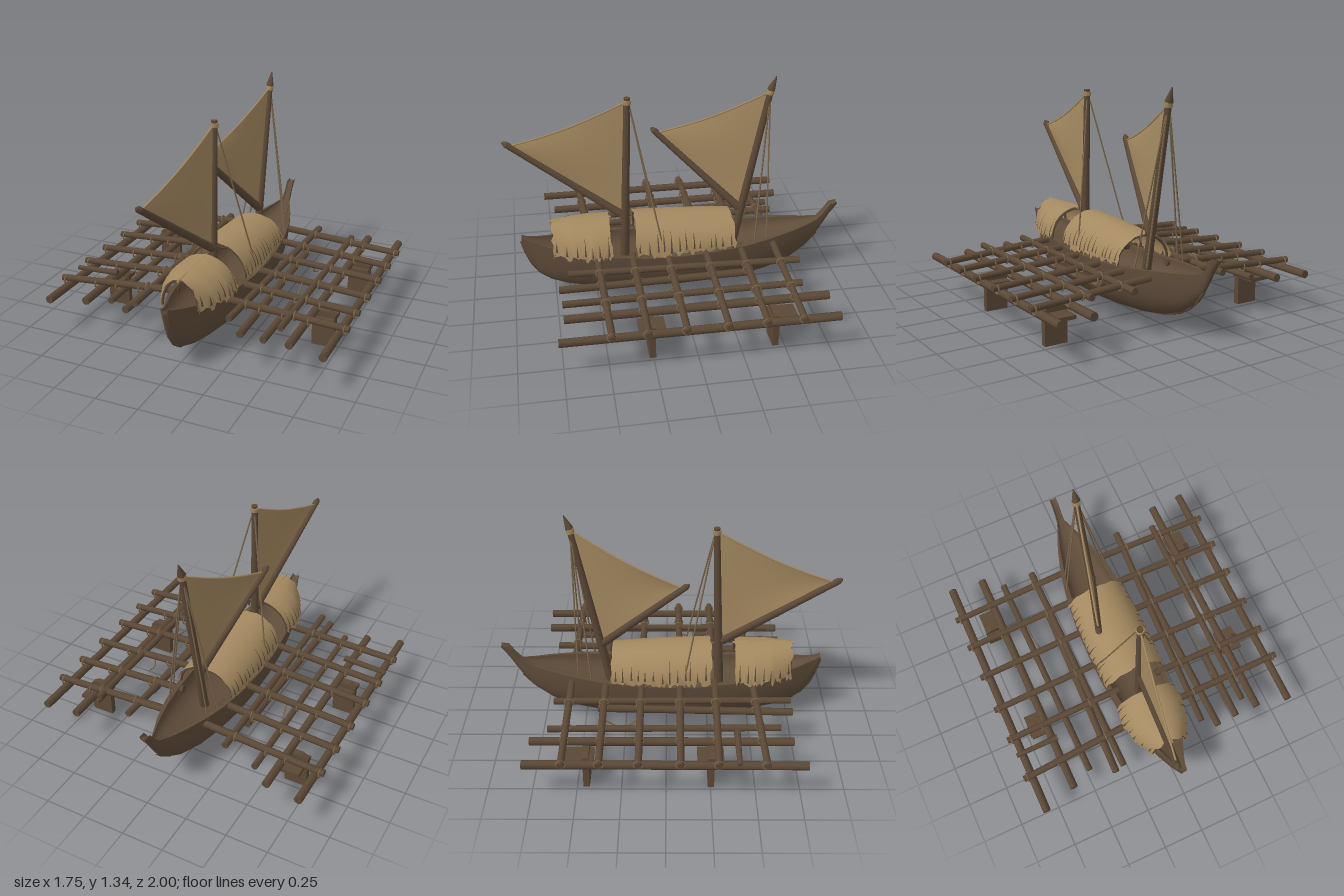
import * as THREE from 'three';
import { toCreasedNormals } from 'three/addons/utils/BufferGeometryUtils.js';

const V = (x, y, z) => new THREE.Vector3(x, y, z);
const lerp = THREE.MathUtils.lerp;

export function createModel() {
  const model = new THREE.Group();
  const material = (name, color, side = THREE.FrontSide) => {
    const m = new THREE.MeshStandardMaterial({ color, side });
    m.name = name;
    return m;
  };
  const hullWood = material('hull wood', 0x5f4c3a);
  const logWood = material('log wood', 0x5b4836, THREE.DoubleSide);
  const cloth = material('woven cloth', 0xa48960, THREE.DoubleSide);
  const rope = material('rope', 0x7a6549);

  let seed = 7;
  const jitter = (amount) => {
    seed = (seed * 16807) % 2147483647;
    return (seed / 2147483647 - 0.5) * 2 * amount;
  };

  const add = (name, geometry, mat, parent = model) => {
    const mesh = new THREE.Mesh(geometry, mat);
    mesh.name = name;
    parent.add(mesh);
    return mesh;
  };
  const group = (name) => {
    const g = new THREE.Group();
    g.name = name;
    model.add(g);
    return g;
  };
  const tube = (name, points, radius, mat, parent = model) =>
    add(name, new THREE.TubeGeometry(new THREE.CatmullRomCurve3(points), 24, radius, 5), mat, parent);
  // Straight pole from a to b
  const pole = (name, a, b, r0, r1, mat = logWood, parent = model, sides = 8) => {
    const geo = new THREE.CylinderGeometry(r1, r0, a.distanceTo(b), sides);
    const mesh = add(name, toCreasedNormals(geo, 0.9), mat, parent);
    mesh.position.copy(a).lerp(b, 0.5);
    mesh.quaternion.setFromUnitVectors(V(0, 1, 0), b.clone().sub(a).normalize());
    return mesh;
  };
  // Surface from a grid of points
  const sheet = (rows, cols, point) => {
    const pos = [], index = [];
    for (let i = 0; i <= rows; i++)
      for (let j = 0; j <= cols; j++) pos.push(...point(i, j).toArray());
    for (let i = 0; i < rows; i++)
      for (let j = 0; j < cols; j++) {
        const a = i * (cols + 1) + j, b = a + cols + 1;
        index.push(a, a + 1, b, a + 1, b + 1, b);
      }
    const geo = new THREE.BufferGeometry();
    geo.setAttribute('position', new THREE.Float32BufferAttribute(pos, 3));
    geo.setIndex(index);
    geo.computeVertexNormals();
    return geo;
  };

  // Hull: [z, half width, gunwale y, keel y]
  const stations = [
    [-1, 0.02, 0.492, 0.472], [-0.955, 0.022, 0.483, 0.405], [-0.92, 0.022, 0.43, 0.345],
    [-0.88, 0.025, 0.385, 0.28], [-0.8, 0.06, 0.37, 0.19], [-0.7, 0.1, 0.36, 0.125],
    [-0.55, 0.145, 0.345, 0.075], [-0.4, 0.175, 0.33, 0.05], [-0.2, 0.197, 0.318, 0.035],
    [0, 0.202, 0.31, 0.03], [0.2, 0.198, 0.312, 0.037], [0.4, 0.18, 0.325, 0.05],
    [0.55, 0.155, 0.34, 0.062], [0.68, 0.115, 0.355, 0.08], [0.78, 0.075, 0.372, 0.115],
    [0.85, 0.045, 0.388, 0.175], [0.9, 0.028, 0.402, 0.265], [0.935, 0.022, 0.42, 0.385],
  ];
  const M = 16, ring = 2 * (M + 1);
  const pos = [], index = [];
  for (const [z, w, top, keel] of stations) {
    const depth = top - keel;
    const section = (width, d, t) => {
      const a = (t * Math.PI) / 2;
      return [Math.sign(t) * width * Math.abs(Math.sin(a)) ** 0.8,
        top - d * Math.max(0, Math.cos(a)) ** 0.9, z];
    };
    for (let i = 0; i <= M; i++) pos.push(...section(w, depth, (i / M) * 2 - 1));
    for (let i = M; i >= 0; i--)
      pos.push(...section(w * 0.82, Math.min(depth * 0.5, w * 0.6), (i / M) * 2 - 1));
  }
  for (let s = 0; s < stations.length - 1; s++)
    for (let i = 0; i < ring; i++) {
      const a = s * ring + i, b = s * ring + ((i + 1) % ring);
      index.push(a, b, a + ring, b, b + ring, a + ring);
    }
  const last = (stations.length - 1) * ring;
  for (let i = 0; i < M; i++) {
    const a = i, b = i + 1, c = ring - 2 - i, d = ring - 1 - i;
    index.push(a, c, b, a, d, c);
    index.push(last + a, last + b, last + c, last + a, last + c, last + d);
  }
  const hullGeo = new THREE.BufferGeometry();
  hullGeo.setAttribute('position', new THREE.Float32BufferAttribute(pos, 3));
  hullGeo.setIndex(index);
  add('hull', toCreasedNormals(hullGeo, 0.8), hullWood);
  tube('keel ridge', stations.slice(3).map(([z, , , keel]) => V(0, keel + 0.006, z)), 0.012, hullWood);

  // Arched cloth shelters with frayed edges: [z, half width, ridge y, lower y]
  const shelter = (name, ends, tears) => {
    const g = group(name);
    const rows = 36, cols = 16;
    const at = (u) => {
      const f = u * (ends.length - 1), k = Math.min(Math.floor(f), ends.length - 2);
      return ends[k].map((v, n) => lerp(v, ends[k + 1][n], f - k));
    };
    // Point on the arch at u along its length, angle a from the ridge, lifted outwards
    const arch = (u, a, lift) => {
      const [z, w, top, low] = at(u);
      return V((w + lift) * Math.sin(a), low + (top - low + lift) * Math.cos(a), z);
    };
    add('cloth cover', sheet(rows, cols, (i, j) => {
      const p = arch(i / rows, (j / cols - 0.5) * Math.PI, 0);
      if (j === 0 || j === cols) p.add(V(jitter(0.008), jitter(0.022), 0));
      if (i === 0 || i === rows) p.z += jitter(0.008);
      return p;
    }), cloth, g);
    for (const u of [0.03, 0.5, 0.97]) {
      const pts = [];
      for (let k = 0; k <= 10; k++) pts.push(arch(u, (k / 10 - 0.5) * Math.PI, -0.012));
      tube('hoop', pts, 0.008, logWood, g);
    }
    // Narrow tears that show the dark wood beneath
    for (const side of [-1, 1])
      for (let k = 0; k < tears; k++) {
        const u = (k + 0.5) / tears + jitter(0.02), from = 1.45 + jitter(0.06), to = 0.95 + jitter(0.22);
        const half = 0.006 / (ends.at(-1)[0] - ends[0][0]);
        add('tear', sheet(5, 1, (i, j) => arch(u + (j - 0.5) * 2 * half * (1 - i / 5),
          side * lerp(from, to, i / 5), 0.003)), logWood, g);
      }
  };
  shelter('rear shelter', [[-0.33, 0.185, 0.485, 0.325], [-0.03, 0.197, 0.508, 0.32], [0.265, 0.192, 0.522, 0.325]], 13);
  shelter('front shelter', [[0.41, 0.19, 0.513, 0.33], [0.52, 0.2, 0.513, 0.325], [0.63, 0.175, 0.513, 0.33], [0.755, 0.115, 0.508, 0.335]], 7);
  pole('front ridge', V(0, 0.507, 0.4), V(0, 0.505, 0.77), 0.008, 0.008, cloth);

  // Masts, booms and three-cornered sails
  const rig = (name, foot, head, boomFoot, boomTip) => {
    const g = group(name);
    pole('mast', foot, head, 0.028, 0.019, logWood, g);
    pole('boom', boomFoot, boomTip, 0.026, 0.019, logWood, g);
    const along = boomFoot.clone().sub(boomTip).normalize();
    pole('boom point', boomTip, boomTip.clone().addScaledVector(along, -0.025), 0.02, 0.008, logWood, g);
    pole('mast binding', head.clone().lerp(foot, 0.035), head.clone().lerp(foot, 0.012), 0.024, 0.025, cloth, g);
    const low = boomFoot.clone(), top = head.clone().lerp(foot, 0.02);
    const tip = boomTip.clone().addScaledVector(along, 0.02);
    const n = 14;
    const upper = (s) => {
      const p = top.clone().lerp(tip, s);
      p.y -= 0.025 * Math.sin(Math.PI * s);
      return p;
    };
    add('sail', sheet(n, n, (i, j) => {
      const s = i / n, t = j / n;
      const p = low.clone().lerp(tip, s).lerp(upper(s), t);
      p.x += 0.012 * Math.sin(Math.PI * s) * Math.sin(Math.PI * t);
      if (j === n && i > 0 && i < n) p.y += jitter(0.008);
      return p;
    }), cloth, g);
    tube('sail edge rope', [0, 0.25, 0.5, 0.75, 1].map(upper), 0.006, cloth, g);
    return g;
  };
  rig('front rig', V(0, 0.15, 0.325), V(0, 1.265, 0.285), V(0, 0.52, 0.335), V(-0.1, 0.98, 0.98));
  const rearRig = rig('rear rig', V(0, 0.17, -0.33), V(0, 1.27, -0.55), V(0, 0.5, -0.385), V(-0.165, 0.975, 0.11));
  pole('mast point', V(0, 1.26, -0.548), V(0, 1.34, -0.578), 0.025, 0.003, logWood, rearRig);

  // Stays from the mastheads to the gunwales
  const stays = group('stays');
  for (const side of [-1, 1])
    for (const [name, y0, z0, x1, y1, z1] of [['front stay', 1.2, 0.27, 0.185, 0.32, 0.1],
      ['rear stay', 1.2, -0.54, 0.15, 0.34, -0.45], ['aft stay', 1.2, -0.545, 0.125, 0.35, -0.53]])
      pole(name, V(0.01 * side, y0, z0), V(x1 * side, y1, z1), 0.005, 0.005, rope, stays, 5);

  // Outrigger frames: cross beams, long logs, lashings and floats
  const beamY = (x) => lerp(0.305, 0.262, (Math.abs(x) - 0.18) / 0.7);
  const beams = [-0.57, -0.365, -0.15, 0.08, 0.29];
  // Long logs: [x at back, z back, x at front, z front, radius, height]
  const logs = {
    1: [[0.82, -0.79, 0.82, 0.77, 0.025, 0.23], [0.62, -0.78, 0.62, 0.73, 0.025, 0.235],
      [0.545, -0.64, 0.545, 0.66, 0.02, 0.285], [0.475, 0.28, 0.475, 0.73, 0.022, 0.235],
      [0.31, -0.69, 0.255, 0.68, 0.021, 0.29], [0.325, -0.4, 0.345, 0.74, 0.023, 0.245]],
    '-1': [[0.82, -0.79, 0.825, 0.78, 0.025, 0.23], [0.62, -0.77, 0.62, 0.72, 0.025, 0.235],
      [0.505, -0.68, 0.49, 0.66, 0.02, 0.235], [0.31, -0.66, 0.295, 0.73, 0.021, 0.29],
      [0.315, -0.4, 0.35, 0.74, 0.023, 0.245]],
  };
  for (const side of [1, -1]) {
    const g = group(side > 0 ? 'left outrigger' : 'right outrigger');
    const frontBeam = side > 0 ? [0.5, 0.485] : [0.515, 0.55];
    const all = [...beams.map((z) => [z, z]), frontBeam];
    for (const [z0, z1] of all)
      pole('cross beam', V(side * 0.125, beamY(0.125), z0), V(side * 0.875, beamY(0.875), z1), 0.022, 0.02, logWood, g);
    if (side < 0) pole('short beam', V(-0.59, beamY(0.59), 0.4), V(-0.86, beamY(0.86), 0.4), 0.019, 0.014, logWood, g);
    for (const [x0, z0, x1, z1, r, y] of logs[side]) {
      pole('long log', V(side * x0, y, z0), V(side * x1, y, z1), r, r * 0.95, logWood, g);
      // Rope wound round each crossing
      for (const [a, b] of all) {
        const t = (a - z0) / (z1 - z0);
        if (t < 0 || t > 1) continue;
        const x = lerp(x0, x1, t);
        const wrap = add('lashing', new THREE.TorusGeometry(0.026, 0.005, 5, 10), rope, g);
        wrap.position.set(side * (x + r + 0.004), (beamY(x) * 2 + y) / 3, lerp(a, b, (x - 0.125) / 0.75));
        wrap.rotation.y = Math.PI / 2;
      }
    }
    // Plank floats hanging under the frame
    const plank = new THREE.Shape([[-0.068, 0], [0.068, 0], [0.068, 0.2], [0.03, 0.222], [-0.03, 0.222], [-0.068, 0.2]]
      .map(([x, y]) => new THREE.Vector2(x, y)));
    for (const [z, flangeZ, length] of [[0.253, 0.25, 0.15], [-0.448, -0.49, 0.17]]) {
      const geo = new THREE.ExtrudeGeometry(plank, { depth: 0.036, bevelEnabled: false });
      add('float plank', geo, logWood, g).position.set(side * 0.662, 0, z - 0.018);
      add('float brace', new THREE.BoxGeometry(0.125, 0.022, length), logWood, g).position.set(side * 0.665, 0.174, flangeZ);
    }
  }
  // Loose ropes hanging on the frames
  for (const x of [0.455, 0.49])
    tube('loose rope', [V(0.47, 0.285, 0.09), V(0.472, 0.235, 0.2), V(0.475, 0.25, 0.37), V(x, 0.24, 0.43)], 0.005, rope);
  tube('loose rope end', [V(0.46, 0.28, -0.15), V(0.45, 0.23, -0.18), V(0.465, 0.22, -0.22)], 0.005, rope);
  tube('loose rope end', [V(-0.48, 0.285, -0.36), V(-0.47, 0.22, -0.25), V(-0.45, 0.28, -0.15)], 0.005, rope);

  return model;
}
